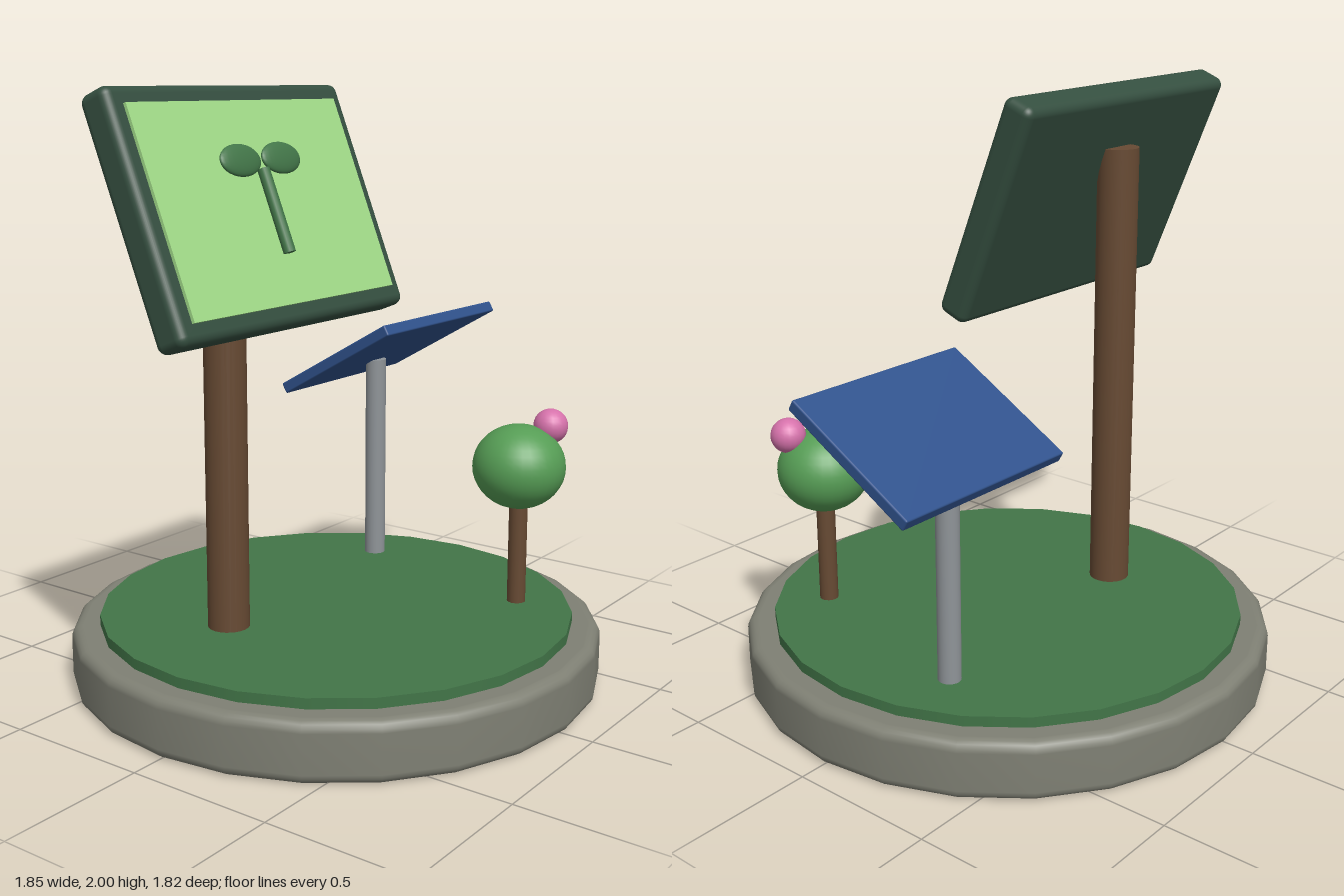
import * as THREE from 'three';
import { RoundedBoxGeometry } from 'three/addons/geometries/RoundedBoxGeometry.js';

const material = (name, color) => {
  const m = new THREE.MeshStandardMaterial({ color });
  m.name = name;
  return m;
};

export function createModel() {
  const stone = material('stone', 0x7f8074);
  const green = material('grass green', 0x427548);
  const wood = material('wood', 0x674a33);
  const frame = material('frame green', 0x354f40);
  const screenGreen = material('screen green', 0xa2dc89);
  const blue = material('panel blue', 0x30528c);
  const metal = material('metal', 0x8f9498);
  const foliage = material('foliage green', 0x569d55);
  const pink = material('blossom pink', 0xd672ab);

  const model = new THREE.Group();
  model.name = 'gardenDisplay';

  const add = (parent, name, geometry, mat, x = 0, y = 0, z = 0) => {
    const mesh = new THREE.Mesh(geometry, mat);
    mesh.name = name;
    mesh.position.set(x, y, z);
    parent.add(mesh);
    return mesh;
  };
  // Upright cylinder between two heights
  const post = (parent, name, mat, r, x, z, y0, y1, sides = 24) =>
    add(parent, name, new THREE.CylinderGeometry(r, r, y1 - y0, sides), mat, x, (y0 + y1) / 2, z);

  // Round stone plinth with softened rims
  const R = 0.908, H = 0.2, b = 0.035;
  const profile = [new THREE.Vector2(0, 0), new THREE.Vector2(R - b - 0.004, 0)];
  for (const [cy, start] of [[b, -Math.PI / 2], [H - b, 0]]) {
    for (let i = 0; i <= 4; i++) {
      const a = start + (i / 4) * Math.PI / 2;
      profile.push(new THREE.Vector2(R - b + b * Math.cos(a), cy + b * Math.sin(a)));
    }
  }
  profile.push(new THREE.Vector2(R - b - 0.004, H), new THREE.Vector2(0, H));
  add(model, 'plinth', new THREE.LatheGeometry(profile, 24), stone, 0.01);
  post(model, 'lawn', green, 0.812, 0.01, 0, 0.19, 0.235);

  // Tilted display board on a wooden post
  post(model, 'boardPost', wood, 0.07, -0.375, -0.16, 0.2, 1.79);
  const board = new THREE.Group();
  board.name = 'board';
  board.position.set(-0.375, 1.628, -0.03);
  board.rotation.x = THREE.MathUtils.degToRad(-22);
  model.add(board);
  add(board, 'boardFrame', new RoundedBoxGeometry(1.1, 0.775, 0.115, 4, 0.03), frame);
  add(board, 'screen', new THREE.BoxGeometry(0.98, 0.652, 0.02), screenGreen, 0, 0, 0.058);

  // Sprout emblem: stem and two leaves
  post(board, 'sproutStem', green, 0.02, 0, 0.08, -0.17, 0.1, 16);
  for (const side of [-1, 1]) {
    const leaf = add(board, side > 0 ? 'leftLeaf' : 'rightLeaf',
      new THREE.SphereGeometry(1, 24, 16), green, side * 0.097, 0.13, 0.083);
    leaf.scale.set(0.092, 0.052, 0.018);
  }

  // Solar panel on a metal pole
  post(model, 'panelPole', metal, 0.038, 0.568, -0.226, 0.2, 0.99);
  const panel = add(model, 'solarPanel', new RoundedBoxGeometry(0.71, 0.04, 0.52, 2, 0.006), blue, 0.565, 1.045, -0.16);
  panel.rotation.x = THREE.MathUtils.degToRad(-30);

  // Little tree with one blossom
  post(model, 'treeTrunk', wood, 0.032, 0.405, 0.49, 0.2, 0.64, 16);
  add(model, 'treeCrown', new THREE.SphereGeometry(0.16, 32, 20), foliage, 0.405, 0.72, 0.488).scale.y = 0.91;
  add(model, 'blossom', new THREE.SphereGeometry(0.06, 20, 14), pink, 0.503, 0.852, 0.553);

  return model;
}
